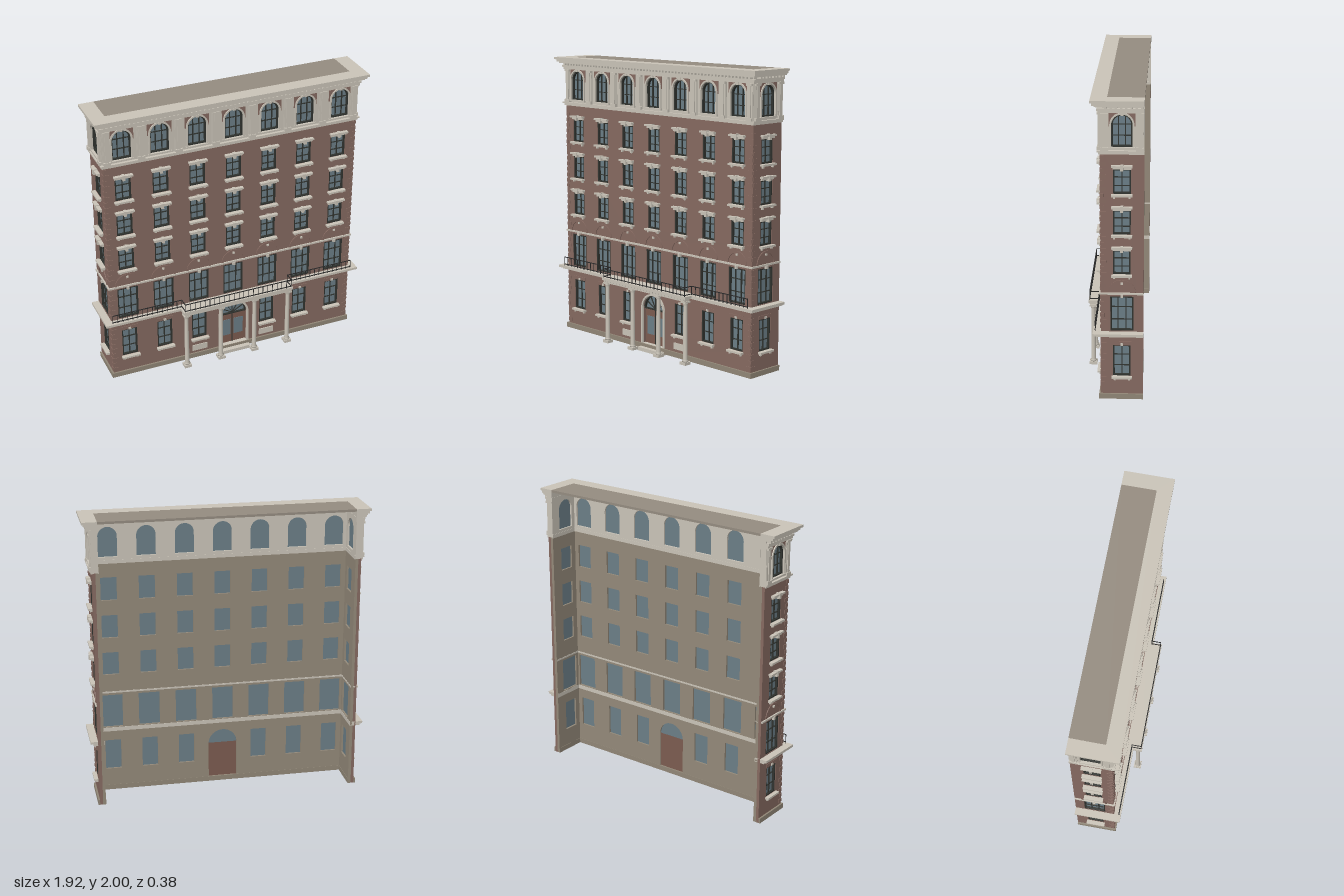
import * as THREE from 'three';

const mat = (name, color) => Object.assign(new THREE.MeshStandardMaterial({ color }), { name });
const M = {
  brick: mat('brick', 0x866a61), stone: mat('pale stone', 0xcac4b8), inner: mat('plaster', 0x938979),
  roof: mat('roofing', 0x958c80), base: mat('base stone', 0x918777), glass: mat('glass', 0x6b7e87),
  frame: mat('dark frame', 0x30332f), door: mat('door wood', 0x7c5c50), iron: mat('iron', 0x292929),
};
const HALF = 0.9, FRONT = 0.08, BACK = -0.19, LAYER = 0.02;

function add(g, name, geo, m) {
  const mesh = new THREE.Mesh(geo, m);
  mesh.name = name;
  g.add(mesh);
  return mesh;
}
// box given by its limits
function box(g, name, m, x0, x1, y0, y1, z0, z1) {
  const b = add(g, name, new THREE.BoxGeometry(x1 - x0, y1 - y0, z1 - z0), m);
  b.position.set((x0 + x1) / 2, (y0 + y1) / 2, (z0 + z1) / 2);
  return b;
}
// shape extruded between two depths
function plate(g, name, m, shape, z0, z1) {
  const geo = new THREE.ExtrudeGeometry(shape, { depth: z1 - z0, bevelEnabled: false, curveSegments: 14 });
  return add(g, name, geo.translate(0, 0, z0), m);
}
// rectangular or round-headed outline of half width w
function outline(u, w, y0, y1, arched, Type = THREE.Shape) {
  const s = new Type();
  s.moveTo(u - w, y0);
  s.lineTo(u + w, y0);
  if (arched) {
    s.lineTo(u + w, y1 - w);
    s.absarc(u, y1 - w, w, 0, Math.PI, false);
  } else {
    s.lineTo(u + w, y1);
    s.lineTo(u - w, y1);
  }
  s.closePath();
  return s;
}
function ring(u, w, y0, y1, arched, t, bottom = t) {
  const s = outline(u, w + t, y0 - bottom, y1 + t, arched);
  s.holes.push(outline(u, w, y0, y1, arched, THREE.Path));
  return s;
}
function halfRing(u, y, r0, r1) {
  const s = new THREE.Shape();
  s.absarc(u, y, r1, 0, Math.PI, false);
  s.absarc(u, y, r0, Math.PI, 0, true);
  s.closePath();
  return s;
}
// band running round the front and both sides, projecting by p
function band(g, name, m, y0, y1, p) {
  const X = HALF + p, Z = FRONT + p, x = 0.858, z = 0.038;
  const pts = [[-X, BACK], [-X, Z], [X, Z], [X, BACK], [x, BACK], [x, z], [-x, z], [-x, BACK]];
  const geo = new THREE.ExtrudeGeometry(new THREE.Shape(pts.map(([a, b]) => new THREE.Vector2(a, -b))),
    { depth: y1 - y0, bevelEnabled: false });
  return add(g, name, geo.rotateX(-Math.PI / 2).translate(0, y0, 0), m);
}

const ROWS = [
  { w: 0.055, y0: 0.17, y1: 0.385, v: [0], h: [0.24, 0.315], kind: 'ground' },
  { w: 0.073, y0: 0.485, y1: 0.72, v: [-0.025, 0.025], h: [0.56, 0.645], kind: 'tall' },
  ...[0.87, 1.135, 1.4].map(y => ({ w: 0.055, y0: y, y1: y + 0.16, v: [0], h: [y + 0.05, y + 0.105], kind: 'plain' })),
  { w: 0.065, y0: 1.7, y1: 1.905, v: [-0.022, 0.022], h: [1.77, 1.84], kind: 'arch', arched: true },
];

function addWindow(g, u, r) {
  const win = new THREE.Group();
  win.name = r.kind + 'Window';
  win.position.x = u;
  g.add(win);
  const { w, y0, y1, arched } = r;
  plate(win, 'pane', M.glass, outline(0, w, y0, y1, arched), -0.027, -0.021);
  plate(win, 'windowFrame', M.frame, ring(0, w - 0.009, y0 + 0.009, y1 - 0.009, arched, 0.009), -0.021, -0.004);
  for (const v of r.v) box(win, 'mullion', M.frame, v - 0.003, v + 0.003, y0, y1 - 0.004, -0.021, -0.012);
  for (const h of r.h) box(win, 'glazingBar', M.frame, -w, w, h - 0.0025, h + 0.0025, -0.021, -0.013);
  const keystone = (a, b, d) => box(win, 'keystone', M.stone, -0.009, 0.009, a, b, 0, d);

  if (r.kind === 'ground' || r.kind === 'plain') {
    box(win, 'sill', M.stone, -w - 0.01, w + 0.01, y0 - 0.013, y0, -0.02, 0.028);
    for (const s of [-1, 1])
      box(win, 'sillBracket', M.stone, s * 0.047 - 0.006, s * 0.047 + 0.006, y0 - 0.027, y0 - 0.013, 0, 0.014);
  }
  if (r.kind === 'ground') {
    box(win, 'brickLintel', M.brick, -w - 0.008, w + 0.008, y1, y1 + 0.025, 0, 0.004);
    keystone(y1, y1 + 0.015, 0.01);
  } else if (r.kind === 'plain') {
    box(win, 'lintel', M.stone, -w - 0.003, w + 0.003, y1, y1 + 0.014, -0.01, 0.012);
    box(win, 'lintelCornice', M.stone, -w - 0.01, w + 0.01, y1 + 0.014, y1 + 0.026, 0, 0.026);
    keystone(y1 - 0.006, y1 + 0.031, 0.03);
  } else if (r.kind === 'tall') {
    plate(win, 'relievingArch', M.brick, halfRing(0, 0.745, 0.075, 0.088), 0, 0.005);
    box(win, 'archKeystone', M.stone, -0.007, 0.007, 0.803, 0.816, 0, 0.01);
    keystone(y1 - 0.004, 0.737, 0.016);
  } else {
    // brick spandrels beside the arch, stone surround
    const sp = new THREE.Shape([[-0.083, 1.83], [-0.083, 1.915], [0.083, 1.915], [0.083, 1.83], [0.07, 1.83]]
      .map(p => new THREE.Vector2(...p)));
    sp.absarc(0, 1.84, 0.07, 0, Math.PI, false);
    sp.lineTo(-0.07, 1.83);
    plate(win, 'spandrel', M.brick, sp, 0, 0.004);
    plate(win, 'archSurround', M.stone, ring(0, w, y0, y1, true, 0.011, 0), -0.004, 0.011);
    keystone(1.9, 1.918, 0.016);
    box(win, 'sill', M.stone, -0.08, 0.08, 1.688, 1.7, -0.02, 0.014);
  }
}

function addPilaster(g, u) {
  const strip = (name, w, y0, y1, d) => box(g, name, M.stone, u - w, u + w, y0, y1, 0, d);
  strip('pilasterBacking', 0.026, 1.68, 1.915, 0.006);
  strip('pilasterSides', 0.021, 1.68, 1.915, 0.01);
  strip('pilasterShaft', 0.011, 1.68, 1.915, 0.016);
  strip('pilasterFoot', 0.024, 1.68, 1.7, 0.02);
  strip('pilasterCapital', 0.024, 1.9, 1.915, 0.02);
}

// one wall, drawn facing +z with its outer face at z = 0
function facade(name, outer, innerSpan, cols, pilasters, corners, hasDoor) {
  const g = new THREE.Group();
  g.name = name;
  const wall = (part, m, [a, b], y0, y1, z0, rows) => {
    const s = outline((a + b) / 2, (b - a) / 2, y0, y1);
    for (const r of rows) for (const u of cols)
      if (!(hasDoor && r.kind === 'ground' && u === 0))
        s.holes.push(outline(u, r.w, r.y0, r.y1, r.arched, THREE.Path));
    if (hasDoor && y0 < 0.1) s.holes.push(outline(0, 0.1, 0.03, 0.4, true, THREE.Path));
    plate(g, part, m, s, z0, z0 + LAYER);
  };
  const low = ROWS.slice(0, 5), top = ROWS.slice(5);
  wall('brickWall', M.brick, outer, 0.01, 1.66, -LAYER, low);
  wall('innerWall', M.inner, innerSpan, 0.01, 1.66, -2 * LAYER, low);
  wall('topStorey', M.stone, outer, 1.66, 1.985, -LAYER, top);
  wall('topStoreyInside', M.stone, innerSpan, 1.66, 1.985, -2 * LAYER, top);
  for (const r of ROWS) for (const u of cols)
    if (!(hasDoor && r.kind === 'ground' && u === 0)) addWindow(g, u, r);
  pilasters.forEach(u => addPilaster(g, u));
  // alternating corner bricks
  for (const [u, s] of corners) for (let i = 0; i < 40; i++) {
    const y = 0.06 + i * 0.04, len = i % 2 ? 0.022 : 0.036;
    if (y > 0.44 && y < 0.49 || y > 0.72 && y < 0.75) continue;
    box(g, 'quoin', M.brick, Math.min(u, u + s * len), Math.max(u, u + s * len), y, y + 0.024, 0, 0.004);
  }
  // dentils under the cornice
  const n = Math.round((outer[1] - outer[0]) / 0.03);
  for (let i = 0; i < n; i++) {
    const u = outer[0] + (i + 0.5) * (outer[1] - outer[0]) / n;
    box(g, 'dentil', M.stone, u - 0.007, u + 0.007, 1.944, 1.957, 0, 0.03);
  }
  return g;
}

function entrance() {
  const g = new THREE.Group();
  g.name = 'entrance';
  box(g, 'doorLeaves', M.door, -0.1, 0.1, 0.03, 0.3, 0.05, 0.06);
  plate(g, 'fanlight', M.glass, outline(0, 0.1, 0.299, 0.4, true), 0.05, 0.056);
  plate(g, 'fanlightFrame', M.frame, halfRing(0, 0.3, 0.092, 0.1), 0.056, 0.072);
  for (let i = 1; i < 6; i++) {
    const a = i * Math.PI / 6;
    const bar = add(g, 'fanlightBar', new THREE.BoxGeometry(0.092, 0.004, 0.008), M.frame);
    bar.position.set(0.048 * Math.cos(a), 0.3 + 0.048 * Math.sin(a), 0.06);
    bar.rotation.z = a;
  }
  box(g, 'transom', M.frame, -0.1, 0.1, 0.295, 0.303, 0.056, 0.07);
  box(g, 'doorGap', M.frame, -0.003, 0.003, 0.03, 0.296, 0.056, 0.064);
  for (const s of [-1, 1]) {
    box(g, 'doorGlass', M.glass, s * 0.047 - 0.035, s * 0.047 + 0.035, 0.115, 0.245, 0.057, 0.063);
    box(g, 'doorPlaque', M.stone, s * 0.257 - 0.056, s * 0.257 + 0.056, 0.065, 0.11, 0.075, 0.086);
  }
  plate(g, 'doorSurround', M.stone, ring(0, 0.1, 0.05, 0.4, true, 0.013, 0), 0.06, 0.093);
  box(g, 'lowerStep', M.stone, -0.115, 0.115, 0, 0.025, 0.07, 0.125);
  return g;
}

function portico() {
  const g = new THREE.Group();
  g.name = 'portico';
  const profile = [[0, 0.03], [0.021, 0.03], [0.021, 0.038], [0.016, 0.046], [0.0155, 0.2], [0.0135, 0.415],
    [0.017, 0.42], [0.015, 0.426], [0.021, 0.437], [0, 0.437]].map(p => new THREE.Vector2(...p));
  const shaft = new THREE.LatheGeometry(profile, 16);
  for (const x of [-0.385, -0.128, 0.128, 0.385]) {
    add(g, 'column', shaft, M.stone).position.set(x, 0, 0.16);
    box(g, 'columnPlinth', M.stone, x - 0.026, x + 0.026, 0.01, 0.03, 0.134, 0.186);
    box(g, 'columnAbacus', M.stone, x - 0.023, x + 0.023, 0.435, 0.446, 0.137, 0.183);
  }
  box(g, 'porticoBeam', M.stone, -0.4, 0.4, 0.445, 0.463, 0.138, 0.182);
  box(g, 'porticoSlab', M.stone, -0.412, 0.412, 0.463, 0.482, 0.08, 0.19);
  for (let i = 0; i < 27; i++) {
    const x = -0.39 + i * 0.03;
    box(g, 'porticoDentil', M.stone, x - 0.006, x + 0.006, 0.453, 0.463, 0.182, 0.187);
  }
  return g;
}

function railing() {
  const g = new THREE.Group();
  g.name = 'balconyRailing';
  const run = (x0, x1, z) => {
    for (const y of [0.49, 0.543]) box(g, 'rail', M.iron, x0, x1, y - 0.0025, y + 0.0025, z - 0.0025, z + 0.0025);
    const n = Math.round((x1 - x0) / 0.036);
    for (let i = 0; i <= n; i++) {
      const x = x0 + (x1 - x0) * i / n;
      box(g, 'baluster', M.iron, x - 0.0016, x + 0.0016, 0.48, 0.543, z - 0.0016, z + 0.0016);
    }
  };
  run(-0.9, -0.4, 0.117);
  run(-0.4, 0.4, 0.183);
  run(0.4, 0.9, 0.117);
  for (const x of [-0.4, 0.4]) for (const y of [0.49, 0.543])
    box(g, 'returnRail', M.iron, x - 0.0025, x + 0.0025, y - 0.0025, y + 0.0025, 0.117, 0.183);
  return g;
}

export function createModel() {
  const model = new THREE.Group();
  model.name = 'townBuilding';
  const cols = [-3, -2, -1, 0, 1, 2, 3].map(i => i * 0.2575);
  const mids = [-2.5, -1.5, -0.5, 0.5, 1.5, 2.5].map(i => i * 0.2575);
  const front = facade('frontWall', [-HALF, HALF], [-0.86, 0.86], cols, [-0.874, ...mids, 0.874],
    [[-HALF, 1], [HALF, -1]], true);
  front.position.z = FRONT;
  model.add(front);
  // side walls, mirrored in plan
  for (const s of [1, -1]) {
    const span = s > 0 ? [-0.06, 0.19] : [-0.19, 0.06];
    const side = facade(s > 0 ? 'leftWall' : 'rightWall', span, span, [s * 0.053], [-s * 0.054, s * 0.164],
      [[-s * FRONT, s]], false);
    side.rotation.y = s * Math.PI / 2;
    side.position.x = s * HALF;
    model.add(side);
  }
  // plinth, string courses and stepped cornice
  band(model, 'plinth', M.base, 0.01, 0.045, 0.012);
  band(model, 'balconyLedgeMoulding', M.stone, 0.452, 0.463, 0.03);
  band(model, 'balconyLedge', M.stone, 0.463, 0.48, 0.05);
  band(model, 'stringCourse', M.stone, 0.735, 0.747, 0.01);
  band(model, 'upperCourse', M.stone, 1.655, 1.67, 0.01);
  band(model, 'upperCourseCap', M.stone, 1.67, 1.68, 0.02);
  [[1.915, 1.93, 0.014], [1.93, 1.944, 0.02], [1.957, 1.968, 0.036], [1.968, 1.984, 0.048], [1.984, 2, 0.06]]
    .forEach(([a, b, p]) => band(model, 'cornice', M.stone, a, b, p));
  box(model, 'roof', M.roof, -0.859, 0.859, 1.984, 2, BACK, 0.039);
  model.add(entrance(), portico(), railing());
  return model;
}
